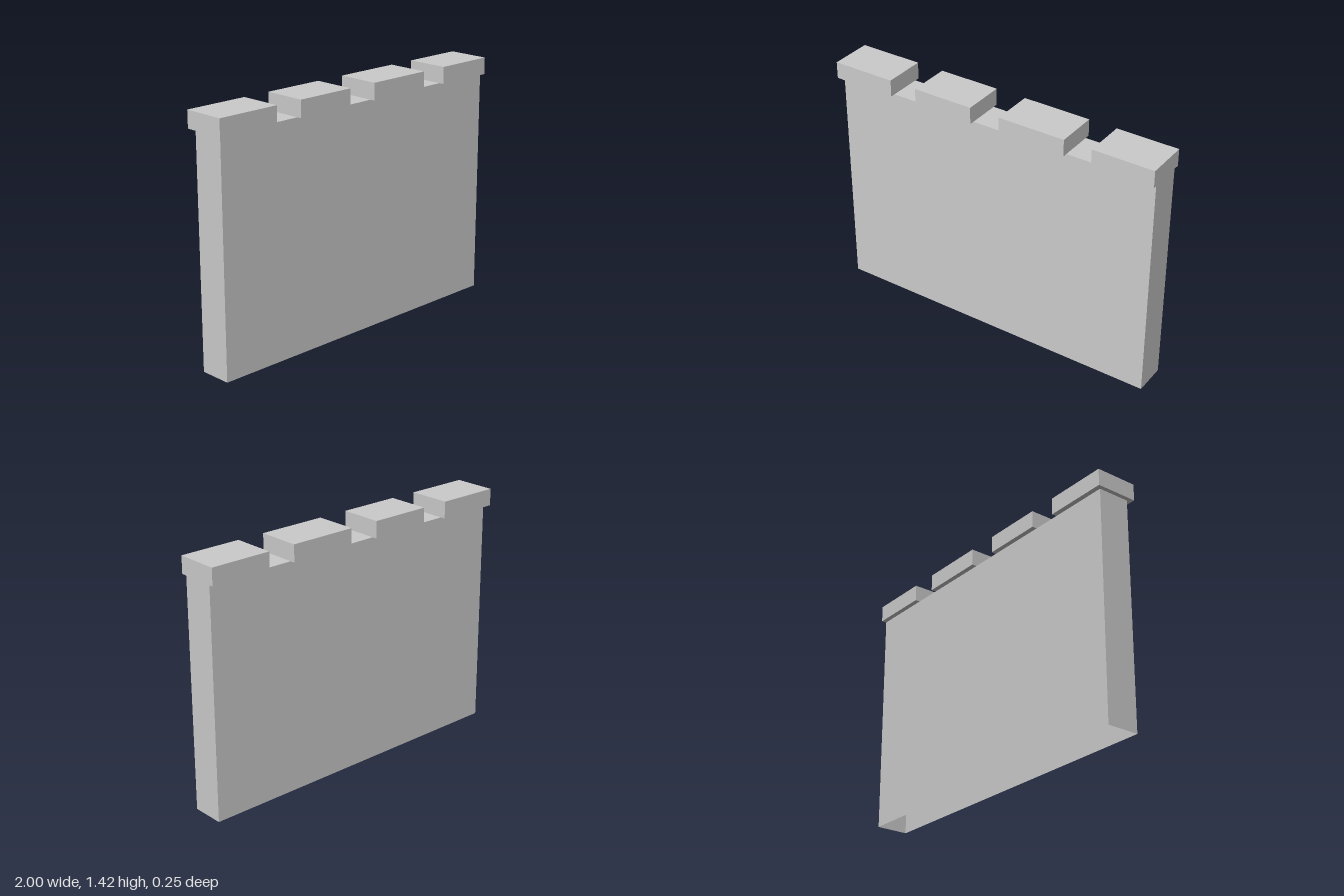
import * as THREE from 'three';

const material = new THREE.MeshStandardMaterial({ color: 0xcccccc, side: THREE.DoubleSide });

// Box given by its extents in x and y, centred on z = 0
function block(name, x0, x1, y0, y1, depth) {
  const geometry = new THREE.BoxGeometry(x1 - x0, y1 - y0, depth);
  geometry.translate((x0 + x1) / 2, (y0 + y1) / 2, 0);
  const mesh = new THREE.Mesh(geometry, material);
  mesh.name = name;
  return mesh;
}

// Removes the bottom face of a box (fourth group of six indices)
function openBottom(mesh) {
  const index = Array.from(mesh.geometry.index.array);
  index.splice(18, 6);
  mesh.geometry.setIndex(index);
  mesh.geometry.clearGroups();
  return mesh;
}

export function createModel() {
  const model = new THREE.Group();
  model.name = 'battlementWall';
  const wallTop = 1.325;

  // Hollow wall slab, open underneath
  model.add(openBottom(block('wall', -0.975, 0.997, 0, wallTop, 0.19)));

  // Four overhanging merlons of slightly uneven width
  const merlons = new THREE.Group();
  merlons.name = 'merlons';
  const spans = [[-1, -0.625], [-0.46, -0.1], [0.08, 0.477], [0.64, 1]];
  spans.forEach(([x0, x1], i) => {
    merlons.add(block(`merlon${i + 1}`, x0, x1, wallTop, 1.423, 0.248));
  });
  model.add(merlons);

  return model;
}
